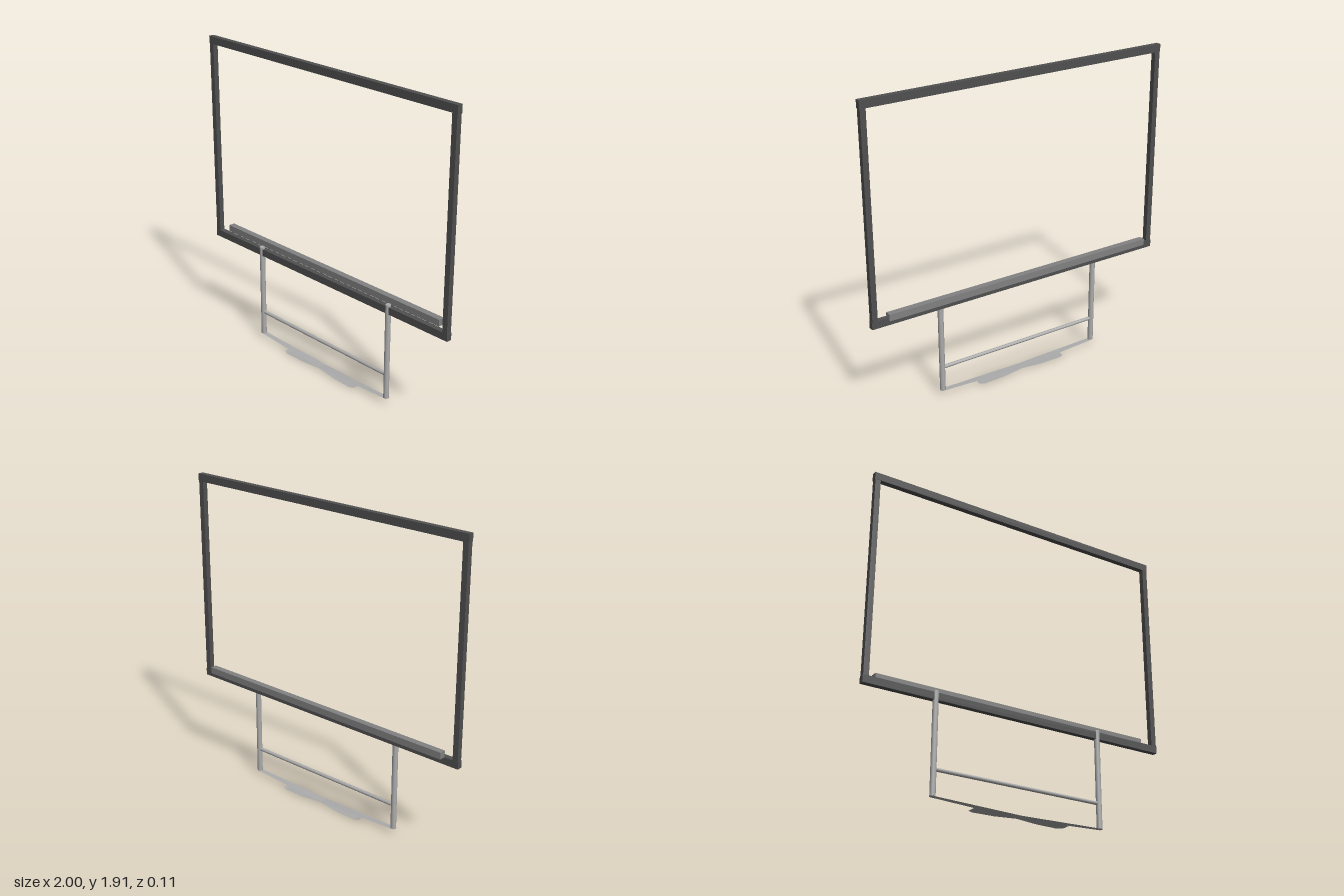
import * as THREE from 'three';

const mat = (name, color, side = THREE.FrontSide) => {
  const m = new THREE.MeshStandardMaterial({ color, side });
  m.name = name;
  return m;
};

// Flat ribbon across z, from sections of [x, y, half width]
function ribbon(sections, zc) {
  const pos = [], idx = [];
  sections.forEach(([x, y, h], i) => {
    pos.push(x, y, zc + h, x, y, zc - h);
    if (i) {
      const a = 2 * (i - 1);
      idx.push(a, a + 2, a + 1, a + 1, a + 2, a + 3);
    }
  });
  const g = new THREE.BufferGeometry();
  g.setAttribute('position', new THREE.Float32BufferAttribute(pos, 3));
  g.setIndex(idx);
  const flat = g.toNonIndexed();
  flat.computeVertexNormals();
  return flat;
}

export function createModel() {
  const group = new THREE.Group();
  const dark = mat('dark grey frame', 0x505050);
  const mid = mat('mid grey tray', 0x828282);
  const light = mat('light grey metal', 0xacacac);
  const sheet = mat('light grey sheet', 0xacacac, THREE.DoubleSide);

  const add = (name, geometry, material, x = 0, y = 0, z = 0) => {
    const m = new THREE.Mesh(geometry, material);
    m.name = name;
    m.position.set(x, y, z);
    group.add(m);
    return m;
  };

  // Open rectangular frame
  const frameZ = 0.004;
  add('topRail', new THREE.BoxGeometry(2, 0.047, 0.034), dark, 0, 1.891, frameZ);
  add('bottomRail', new THREE.BoxGeometry(2, 0.045, 0.034), dark, 0, 0.606, frameZ);
  for (const s of [1, -1]) {
    add(s > 0 ? 'leftPost' : 'rightPost', new THREE.BoxGeometry(0.034, 1.24, 0.033), dark, s * 0.98, 1.248, frameZ);
  }

  // Tray behind the lower rail
  add('tray', new THREE.BoxGeometry(1.82, 0.041, 0.04), mid, 0, 0.65, -0.033);

  // Legs and crossbar
  const legZ = 0.011;
  for (const s of [1, -1]) {
    add(s > 0 ? 'leftLeg' : 'rightLeg', new THREE.CylinderGeometry(0.017, 0.017, 0.61, 12), light, s * 0.55, 0.335, legZ);
  }
  const bar = add('crossbar', new THREE.CylinderGeometry(0.011, 0.011, 1.08, 12), light, 0, 0.184, legZ);
  bar.rotation.z = Math.PI / 2;

  // Thin foot strip sagging between the legs, with a wider plate beneath
  add('footStrip', ribbon([[-0.565, 0.03, 0.015], [0, 0.01, 0.028], [0.565, 0.03, 0.015]], legZ), sheet);
  add('footPlate', ribbon([
    [-0.31, 0.002, 0.03], [-0.28, 0, 0.042], [-0.14, 0.002, 0.042], [0, 0.008, 0.03],
    [0.14, 0.002, 0.042], [0.28, 0, 0.042], [0.31, 0.002, 0.03],
  ], legZ), sheet);

  return group;
}
